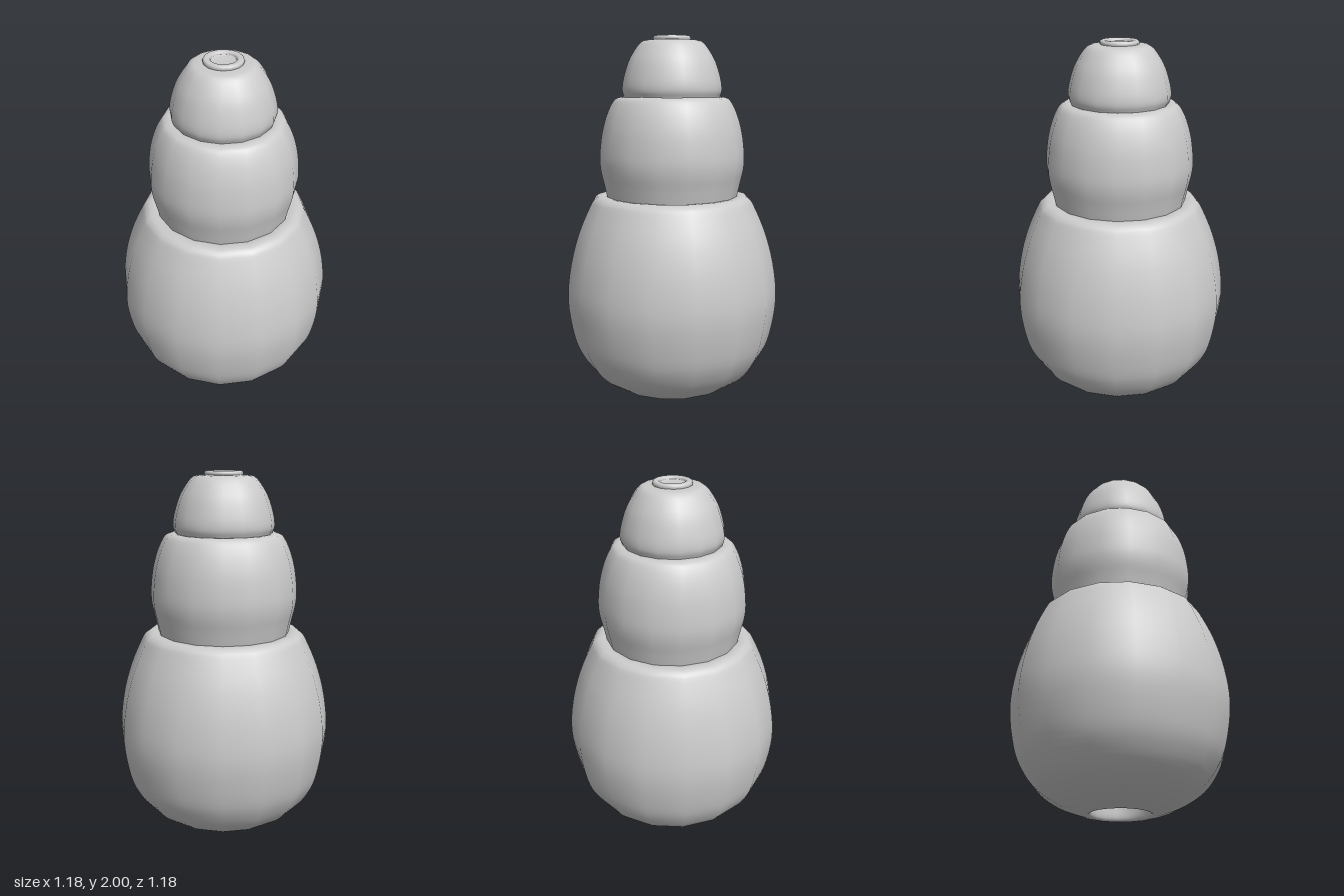
import * as THREE from 'three';

const SIDES = 16;
const material = new THREE.MeshStandardMaterial({ color: 0xcccccc, side: THREE.DoubleSide });

// Turned part: a smooth curve through [radius, height] pairs, listed bottom to top on the outside
function turned(name, profile, steps) {
  const curve = new THREE.SplineCurve(profile.map(([r, y]) => new THREE.Vector2(r, y)));
  const points = curve.getPoints(steps);
  points.forEach((p) => { p.x = Math.max(p.x, 0); });
  const mesh = new THREE.Mesh(new THREE.LatheGeometry(points, SIDES), material);
  mesh.name = name;
  return mesh;
}

export function createModel() {
  const group = new THREE.Group();
  group.name = 'tieredBody';

  // Large lower tier, rolling in at the bottom to the bore
  group.add(turned('lowerTier', [
    [0.155, 0.06], [0.158, 0.015], [0.18, 0.003], [0.25, 0.022], [0.34, 0.06], [0.44, 0.13], [0.51, 0.22],
    [0.56, 0.34], [0.592, 0.55], [0.573, 0.75], [0.525, 0.93],
    [0.46, 1.08], [0.432, 1.12], [0.40, 1.133], [0.36, 1.13], [0.33, 1.12],
  ], 60));

  // Middle tier, tucked in at its foot
  group.add(turned('middleTier', [
    [0.36, 1.11], [0.367, 1.14], [0.38, 1.2], [0.398, 1.28], [0.402, 1.36],
    [0.388, 1.48], [0.36, 1.58], [0.325, 1.65], [0.295, 1.671], [0.26, 1.672], [0.23, 1.66],
  ], 40));

  // Upper tier, closing towards the cap
  group.add(turned('upperTier', [
    [0.255, 1.65], [0.264, 1.675], [0.275, 1.71], [0.268, 1.77], [0.24, 1.86],
    [0.2, 1.93], [0.165, 1.968], [0.13, 1.977], [0.08, 1.979],
  ], 32));

  // Raised ring with a shallow dished centre
  group.add(turned('topRing', [
    [0.098, 1.965], [0.104, 1.985], [0.098, 1.998], [0.085, 2.0], [0.07, 1.997], [0.065, 1.985],
  ], 15));
  group.add(turned('topDish', [[0.065, 1.988], [0.06, 1.984], [0.03, 1.981], [0, 1.98]], 6));

  // Blind bore in the underside
  group.add(turned('bore', [[0.14, 1.0], [0.15, 0.5], [0.155, 0.06]], 6));
  group.add(turned('boreEnd', [[0, 1.0], [0.14, 1.0]], 1));

  return group;
}
